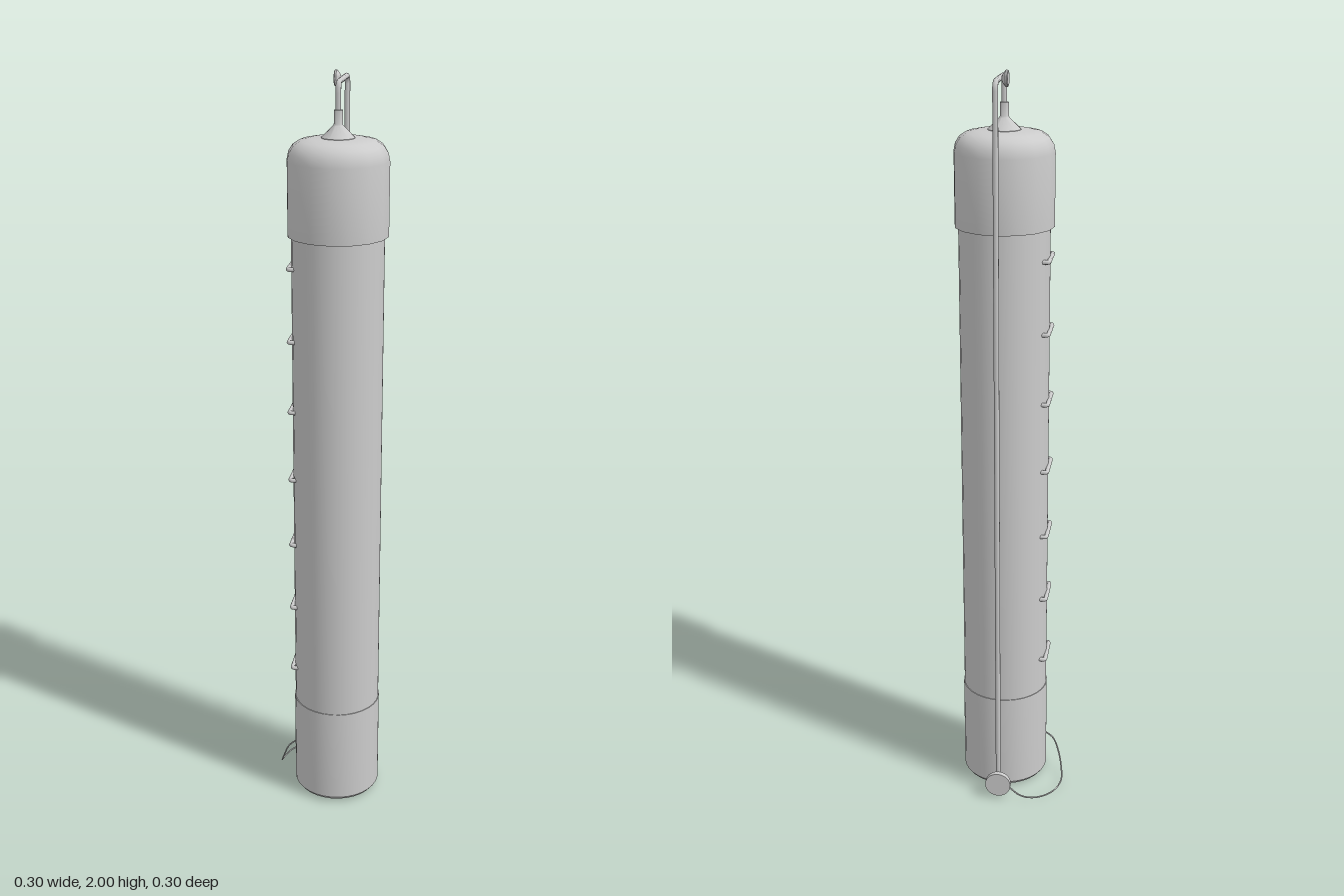
import * as THREE from 'three';
import { toCreasedNormals } from 'three/addons/utils/BufferGeometryUtils.js';

const AXIS = 0.022; // tank axis offset in x and z

export function createModel() {
  const model = new THREE.Group();
  const material = new THREE.MeshStandardMaterial({ color: 0xcccccc });
  const V = (x, y, z) => new THREE.Vector3(x, y, z);

  const add = (name, geometry, x = 0, y = 0, z = 0) => {
    const mesh = new THREE.Mesh(geometry, material);
    mesh.name = name;
    mesh.position.set(x, y, z);
    model.add(mesh);
    return mesh;
  };
  const lathe = (points, sides) => toCreasedNormals(
    new THREE.LatheGeometry(points.map(([r, y]) => new THREE.Vector2(r, y)), sides), 0.6);

  // Path of straight runs with rounded corners
  const bentPath = (points, bend) => {
    const path = new THREE.CurvePath();
    let from = points[0];
    for (let i = 1; i < points.length - 1; i++) {
      const p = points[i];
      const a = p.clone().add(points[i - 1].clone().sub(p).setLength(bend));
      const b = p.clone().add(points[i + 1].clone().sub(p).setLength(bend));
      path.add(new THREE.LineCurve3(from, a));
      path.add(new THREE.QuadraticBezierCurve3(a, p, b));
      from = b;
    }
    path.add(new THREE.LineCurve3(from, points[points.length - 1]));
    return path;
  };
  // Tube sampled at the path's own corners, with flat closed ends
  const pipe = (path, radius, sides) => {
    const pts = path.getPoints(4);
    const line = new THREE.CurvePath();
    for (let i = 1; i < pts.length; i++) line.add(new THREE.LineCurve3(pts[i - 1], pts[i]));
    return new THREE.TubeGeometry(line, 160, radius, sides);
  };

  // Tank: bevelled foot, lower sleeve and long barrel
  add('barrel', lathe([[0.1175, 0.28], [0.1175, 1.62]], 32), AXIS, 0, AXIS);
  add('lowerSleeve', lathe([
    [0, 0.008], [0.112, 0.008], [0.1195, 0.018], [0.1195, 0.29], [0.117, 0.29],
  ], 32), AXIS, 0, AXIS);

  // Domed cap
  add('cap', lathe([
    [0.115, 1.61], [0.128, 1.61], [0.128, 1.795], [0.124, 1.815], [0.113, 1.832],
    [0.096, 1.843], [0.07, 1.848], [0, 1.85],
  ], 16), AXIS, 0, AXIS);

  // Conical outlet and pipe collar
  add('outlet', lathe([
    [0.042, 1.843], [0.042, 1.85], [0.013, 1.878], [0.011, 1.882], [0.011, 1.915], [0, 1.915],
  ], 16), AXIS, 0, AXIS);

  // Pipe rising from the outlet, over the back and down to the foot
  add('pipe', pipe(bentPath([
    V(AXIS, 1.9, AXIS), V(AXIS, 1.98, AXIS), V(AXIS, 1.98, -0.133), V(AXIS, 0.045, -0.133),
  ], 0.015), 0.007, 10));

  // Small round valve beside the top of the pipe
  const valve = add('valve', lathe([
    [0, -0.006], [0.018, -0.006], [0.02, -0.004], [0.02, 0], [0.012, 0.007], [0, 0.012],
  ], 16), 0.006, 1.98, -0.063);
  valve.rotation.z = -Math.PI / 2;

  // Tapered disc at the foot of the pipe
  const disc = add('footDisc', lathe([
    [0, -0.0125], [0.036, -0.0125], [0.036, 0.001], [0.025, 0.0125], [0, 0.0125],
  ], 20), 0.021, 0.045, -0.14);
  disc.rotation.x = Math.PI / 2;

  // Rungs up the right side
  const rungPath = bentPath([
    V(-0.1, 0, -0.05), V(-0.119, 0, -0.05), V(-0.119, 0, 0.05), V(-0.1, 0, 0.05),
  ], 0.006);
  const rungGeometry = pipe(rungPath, 0.006, 8);
  for (let i = 0; i < 7; i++) add('rung', rungGeometry, AXIS, 0.39 + i * 0.19, AXIS);

  // Loose cable looping over the ground from the disc to the tank
  const cable = new THREE.CatmullRomCurve3([
    V(-0.012, 0.035, -0.146), V(-0.04, 0.016, -0.15), V(-0.07, 0.006, -0.145),
    V(-0.105, 0.003, -0.128), V(-0.135, 0.003, -0.095), V(-0.15, 0.006, -0.045),
    V(-0.146, 0.025, -0.01), V(-0.135, 0.06, 0.016), V(-0.118, 0.1, 0.023), V(-0.095, 0.12, 0.022),
  ]);
  add('cable', new THREE.TubeGeometry(cable, 40, 0.0022, 6));

  return model;
}
